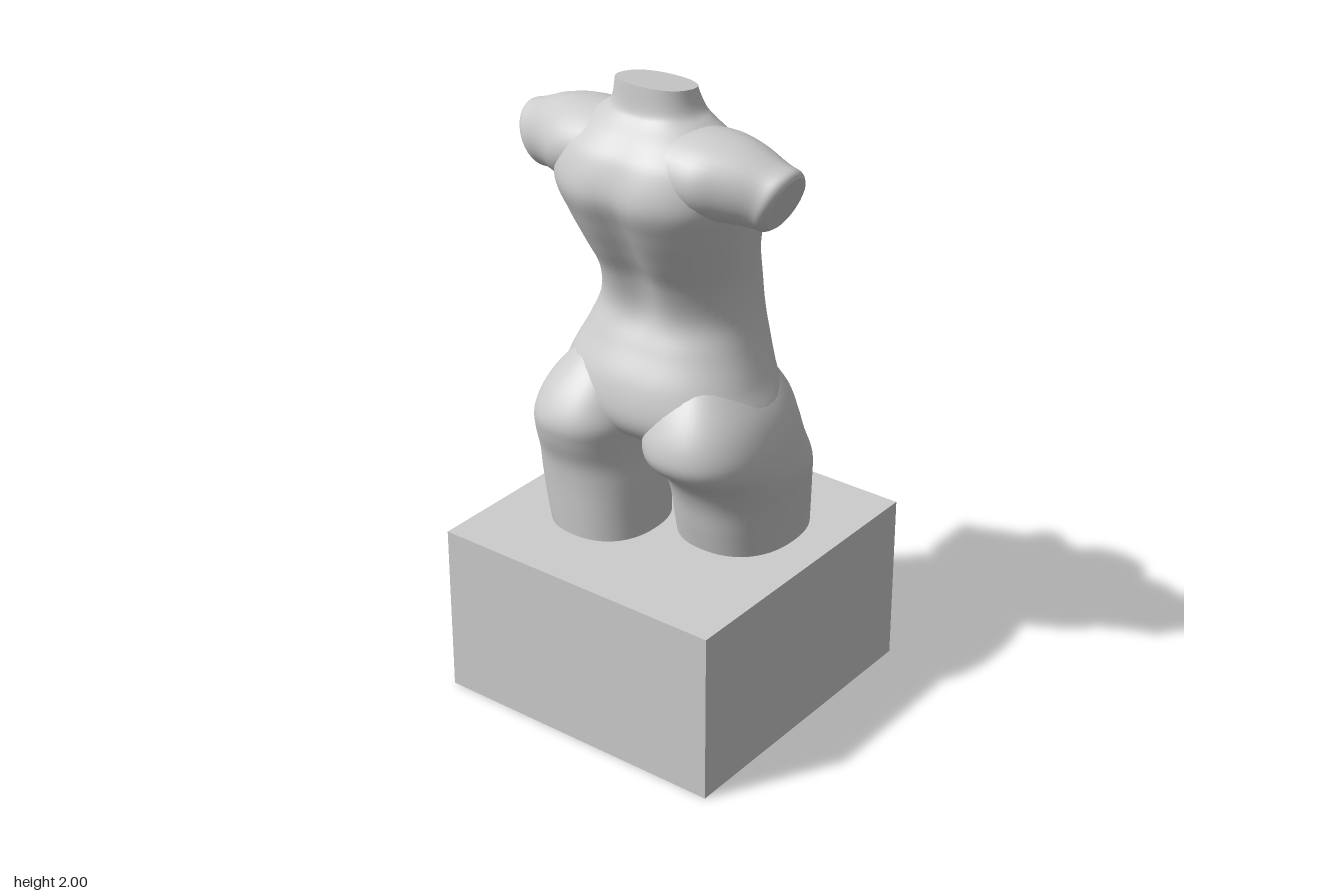
import * as THREE from 'three';

const SIDES = 56;

// Catmull-Rom blend of table rows, t in 0..1
function sampleRow(rows, t) {
  const last = rows.length - 1;
  const f = t * last, i = Math.min(Math.floor(f), last - 1), u = f - i;
  const at = (k) => rows[Math.max(0, Math.min(last, k))];
  return rows[0].map((_, c) => {
    const p0 = at(i - 1)[c], p1 = at(i)[c], p2 = at(i + 1)[c], p3 = at(i + 2)[c];
    return p1 + 0.5 * u * (p2 - p0 + u * (2 * p0 - 5 * p1 + 4 * p2 - p3 + u * (3 * (p1 - p2) + p3 - p0)));
  });
}

// Smooth skin over closed rings, with a flat cap at each end
function loft(rings, flip) {
  const pos = [], index = [], n = rings[0].length;
  const tri = (a, b, c) => (flip ? index.push(a, c, b) : index.push(a, b, c));
  const addRing = (ring) => ring.forEach((p) => pos.push(p.x, p.y, p.z));
  rings.forEach(addRing);
  for (let i = 0; i < rings.length - 1; i++) {
    for (let j = 0; j < n; j++) {
      const a = i * n + j, b = i * n + (j + 1) % n;
      tri(a, a + n, b);
      tri(b, a + n, b + n);
    }
  }
  [rings[0], rings[rings.length - 1]].forEach((ring, end) => {
    const start = pos.length / 3;
    addRing(ring);
    const mid = ring.reduce((s, p) => s.add(p), new THREE.Vector3()).divideScalar(n);
    pos.push(mid.x, mid.y, mid.z);
    for (let j = 0; j < n; j++) {
      const a = start + j, b = start + (j + 1) % n;
      if (end) tri(start + n, b, a); else tri(start + n, a, b);
    }
  });
  const geo = new THREE.BufferGeometry();
  geo.setAttribute('position', new THREE.Float32BufferAttribute(pos, 3));
  geo.setIndex(index);
  geo.computeVertexNormals();
  return geo;
}

// Upright body form; rows are [y, back x, front x, left z, right z]
function bodyLoft(rows, steps, power, shape) {
  const rings = [];
  for (let i = 0; i <= steps; i++) {
    const [y, back, front, left, right] = sampleRow(rows, i / steps);
    const xm = (back + front) / 2, zm = (left + right) / 2;
    const ring = [];
    for (let j = 0; j < SIDES; j++) {
      const a = (j / SIDES) * Math.PI * 2, c = Math.cos(a), s = Math.sin(a);
      const p = new THREE.Vector3(
        xm + Math.sign(c) * Math.abs(c) ** (2 / power) * (front - back) / 2, y,
        zm + Math.sign(s) * Math.abs(s) ** (2 / power) * (left - right) / 2);
      if (shape) shape(p, c);
      ring.push(p);
    }
    rings.push(ring);
  }
  return loft(rings, false);
}

const bell = (d, w) => Math.exp(-((d / w) ** 2));

// Breasts, spine groove, navel and the sloping neck cut
function sculptTorso(p, facing) {
  const { y, z } = p;
  if (facing > 0) {
    const fade = Math.min(1, facing * 2.5);
    const tall = bell(y - 1.6, y > 1.6 ? 0.12 : 0.075);
    p.x += fade * 0.135 * tall * (bell(z - 0.145, 0.085) + bell(z + 0.125, 0.085));
    p.x -= 0.02 * bell(z, 0.03) * bell(y - 1.14, 0.025);
  } else {
    p.x += 0.035 * bell(z, 0.06) * bell(y - 1.5, 0.28);
  }
  p.y -= 0.14 * (p.x + 0.16) * THREE.MathUtils.smoothstep(y, 1.92, 2);
}

// Upper-arm stump; rows are [z, centre x, centre y, x radius, y radius, lean]
const armRows = [
  [0.14, -0.11, 1.785, 0.15, 0.115, 0],
  [0.24, -0.1, 1.775, 0.16, 0.122, 0],
  [0.32, -0.09, 1.765, 0.13, 0.115, 0.1],
  [0.39, -0.08, 1.745, 0.1, 0.1, 0.28],
  [0.425, -0.075, 1.735, 0.093, 0.095, 0.38],
  [0.44, -0.07, 1.73, 0.078, 0.08, 0.4],
];
function armLoft(side) {
  const rings = [];
  for (let i = 0; i <= 20; i++) {
    const [z, cx, cy, rx, ry, lean] = sampleRow(armRows, i / 20);
    const ring = [];
    for (let j = 0; j < 32; j++) {
      const a = (j / 32) * Math.PI * 2, dy = Math.sin(a) * ry;
      ring.push(new THREE.Vector3(cx + Math.cos(a) * rx, cy + dy, side * (z + lean * dy)));
    }
    rings.push(ring);
  }
  return loft(rings, side > 0);
}

const torsoRows = [
  [0.88, -0.14, 0.12, 0.2, -0.2],
  [0.93, -0.22, 0.21, 0.3, -0.3],
  [1.0, -0.255, 0.245, 0.355, -0.355],
  [1.1, -0.24, 0.25, 0.31, -0.325],
  [1.2, -0.19, 0.25, 0.27, -0.28],
  [1.29, -0.155, 0.24, 0.248, -0.25],
  [1.4, -0.185, 0.23, 0.245, -0.235],
  [1.5, -0.24, 0.2, 0.26, -0.25],
  [1.6, -0.29, 0.155, 0.28, -0.27],
  [1.7, -0.325, 0.13, 0.3, -0.295],
  [1.8, -0.295, 0.09, 0.285, -0.285],
  [1.86, -0.245, 0.055, 0.24, -0.24],
  [1.9, -0.2, 0.035, 0.175, -0.175],
  [1.93, -0.18, 0.03, 0.138, -0.138],
  [2.0, -0.17, 0.02, 0.115, -0.125],
];
const leftLegRows = [
  [0.54, -0.1, 0.315, 0.37, 0],
  [0.62, -0.12, 0.31, 0.378, 0],
  [0.72, -0.145, 0.3, 0.39, 0],
  [0.8, -0.19, 0.29, 0.4, 0],
  [0.88, -0.275, 0.26, 0.397, -0.005],
  [0.95, -0.285, 0.24, 0.385, 0],
  [1.03, -0.25, 0.22, 0.35, 0.02],
  [1.12, -0.18, 0.17, 0.28, 0.05],
];
const rightLegRows = [
  [0.54, -0.27, 0.1, -0.005, -0.345],
  [0.62, -0.275, 0.11, -0.008, -0.36],
  [0.72, -0.28, 0.13, -0.01, -0.377],
  [0.8, -0.29, 0.15, -0.015, -0.38],
  [0.88, -0.318, 0.18, -0.012, -0.378],
  [0.95, -0.328, 0.2, -0.005, -0.372],
  [1.03, -0.285, 0.2, -0.02, -0.345],
  [1.12, -0.2, 0.16, -0.05, -0.28],
];

export function createModel() {
  const group = new THREE.Group();
  const stone = new THREE.MeshStandardMaterial({ color: 0xcccccc });
  stone.name = 'pale stone';
  const add = (name, geometry) => {
    const mesh = new THREE.Mesh(geometry, stone);
    mesh.name = name;
    group.add(mesh);
    return mesh;
  };

  // Block plinth
  add('plinth', new THREE.BoxGeometry(0.98, 0.55, 0.98)).position.y = 0.275;

  // Figure, facing +x
  add('torso', bodyLoft(torsoRows, 84, 2.3, sculptTorso));
  add('leftThigh', bodyLoft(leftLegRows, 32, 2.3));
  add('rightThigh', bodyLoft(rightLegRows, 32, 2.3));
  add('leftArm', armLoft(1));
  add('rightArm', armLoft(-1));
  return group;
}
